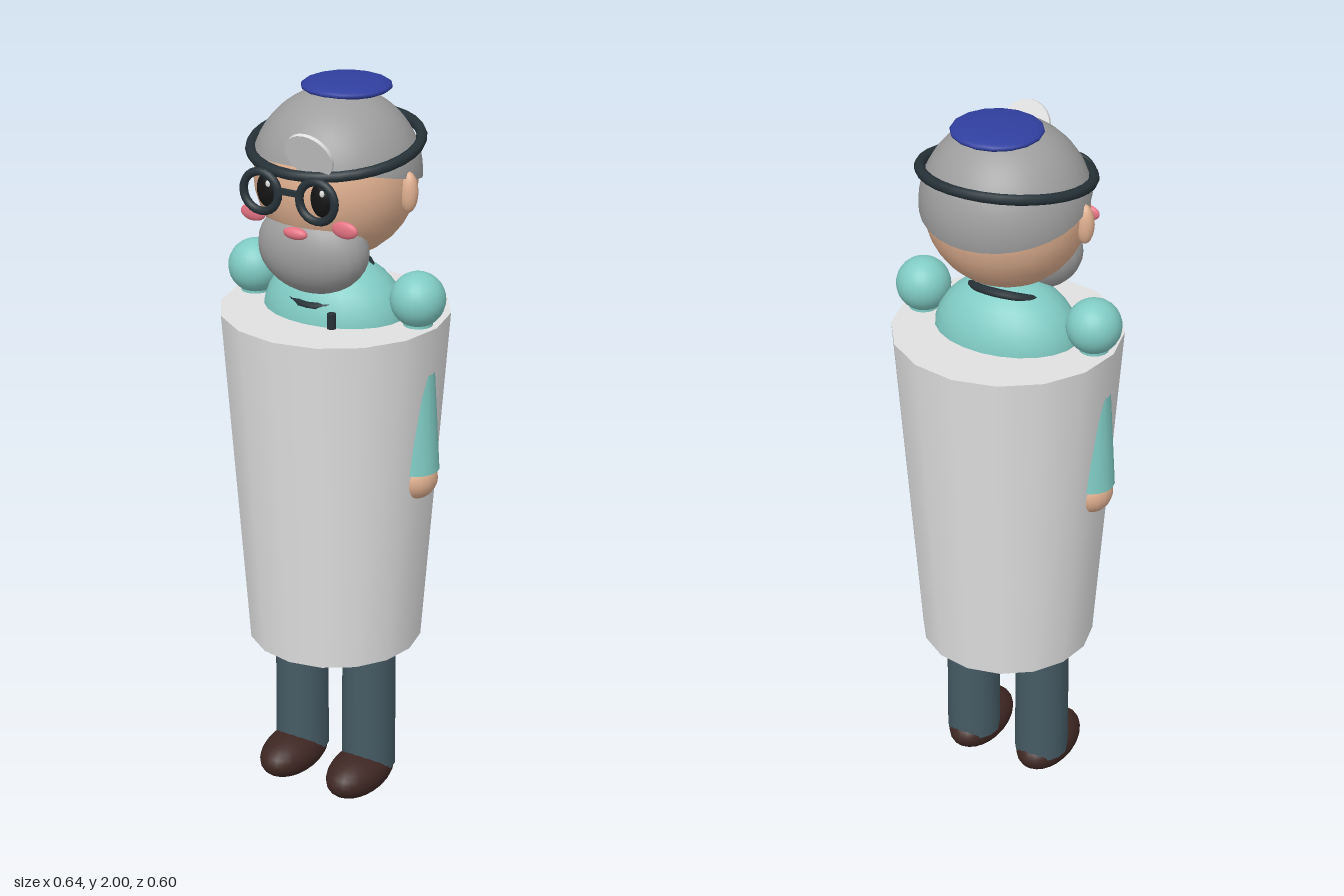
import * as THREE from 'three';

const paint = (name, color) => {
  const m = new THREE.MeshStandardMaterial({ color });
  m.name = name;
  return m;
};

export function createModel() {
  const model = new THREE.Group();
  model.name = 'doctor';

  const white = paint('coatWhite', 0xe0e0e0);
  const grey = paint('hairGrey', 0x9e9e9e);
  grey.side = THREE.DoubleSide;
  const teal = paint('scrubsTeal', 0x80cbc4);
  const skin = paint('skin', 0xe0b090);
  const slate = paint('trouserSlate', 0x455a64);
  const dark = paint('darkSlate', 0x263238);
  const brown = paint('shoeBrown', 0x3e2723);
  const blue = paint('capBlue', 0x303f9f);
  const pink = paint('pink', 0xe57383);
  const black = paint('eyeBlack', 0x141414);

  const add = (name, geometry, material, x, y, z) => {
    const mesh = new THREE.Mesh(geometry, material);
    mesh.name = name;
    mesh.position.set(x, y, z);
    model.add(mesh);
    return mesh;
  };
  const ball = (name, material, [x, y, z], [rx, ry, rz], segments = 24) => {
    const mesh = add(name, new THREE.SphereGeometry(1, segments, 16), material, x, y, z);
    mesh.scale.set(rx, ry, rz);
    return mesh;
  };

  // Coat and the shirt showing above it
  add('coat', new THREE.CylinderGeometry(0.302, 0.235, 0.94, 16), white, 0, 0.93, 0);
  ball('shirt', teal, [0, 1.38, 0], [0.2, 0.17, 0.152]);

  // Stethoscope around the neck, sloping down to the front
  const collar = add('stethoscopeLoop', new THREE.TorusGeometry(0.11, 0.012, 8, 28), dark, 0, 1.49, 0.03);
  collar.rotation.x = Math.PI / 2 + 0.42;
  add('stethoscopeTube', new THREE.CylinderGeometry(0.012, 0.012, 0.1, 10), dark, 0.075, 1.39, 0.14);

  // Head, beard and tilted hair shell
  ball('head', skin, [0, 1.76, -0.005], [0.212, 0.215, 0.208], 32);
  ball('beard', grey, [0, 1.595, 0.105], [0.155, 0.12, 0.1]);
  const hair = add('hair',
    new THREE.SphereGeometry(0.219, 32, 16, 0, Math.PI * 2, 0, Math.PI * 0.48),
    grey, 0, 1.765, -0.008);
  hair.rotation.x = -0.25;
  ball('skullcap', blue, [0, 1.978, -0.055], [0.117, 0.022, 0.117], 16);
  ball('mouth', pink, [0, 1.655, 0.19], [0.035, 0.016, 0.015]);

  // Headband with the round reflector leaning forward
  const band = add('headband', new THREE.TorusGeometry(0.217, 0.014, 8, 32), dark, 0, 1.845, -0.004);
  band.rotation.x = Math.PI / 2 + 0.145;
  const reflector = add('reflector', new THREE.CylinderGeometry(0.066, 0.066, 0.01, 24), white, 0.055, 1.87, 0.21);
  reflector.rotation.x = Math.PI / 2 + 0.42;

  // Bridge of the glasses
  add('glassesBridge', new THREE.BoxGeometry(0.06, 0.014, 0.012), dark, 0, 1.77, 0.22);

  // Mirrored parts
  for (const s of [-1, 1]) {
    const side = s > 0 ? 'left' : 'right';
    add(side + 'GlassesRim', new THREE.TorusGeometry(0.051, 0.011, 8, 24), dark, s * 0.082, 1.76, 0.22);
    ball(side + 'Eye', black, [s * 0.079, 1.758, 0.192], [0.031, 0.046, 0.018]);
    ball(side + 'EyeGlint', white, [s * 0.079 + 0.009, 1.777, 0.206], [0.007, 0.009, 0.004], 10);
    ball(side + 'Cheek', pink, [s * 0.135, 1.683, 0.175], [0.037, 0.022, 0.011]);
    ball(side + 'Ear', skin, [s * 0.215, 1.747, 0], [0.025, 0.053, 0.022], 14);
    ball(side + 'Shoulder', teal, [s * 0.246, 1.468, 0], [0.072, 0.072, 0.072]);
    add(side + 'Arm', new THREE.CylinderGeometry(0.036, 0.062, 0.44, 16), teal, s * 0.247, 1.22, 0);
    ball(side + 'Hand', skin, [s * 0.247, 0.975, 0], [0.058, 0.06, 0.06], 16);
    add(side + 'Leg', new THREE.CylinderGeometry(0.073, 0.075, 0.46, 16), slate, s * 0.108, 0.3, 0);
    ball(side + 'Shoe', brown, [s * 0.108, 0.064, 0.044], [0.077, 0.062, 0.132]);
  }

  return model;
}
